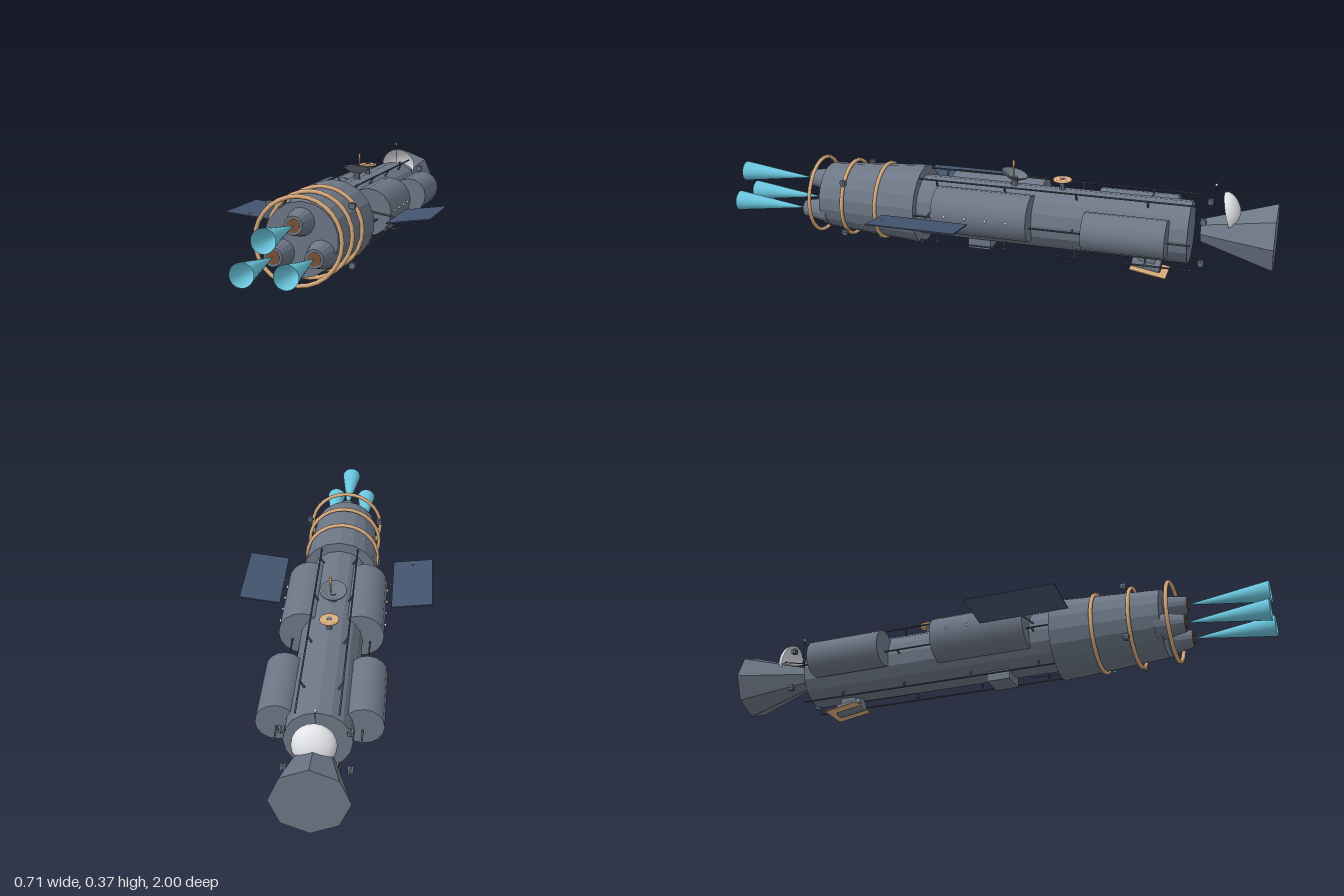
import * as THREE from 'three';

const mat = (name, color, extra = {}) => {
  const m = new THREE.MeshStandardMaterial({ color, ...extra });
  m.name = name;
  return m;
};

export function createModel() {
  const hullGrey = mat('hull grey', 0x6d7786, { flatShading: true });
  const tankGrey = mat('tank grey', 0x6d7786);
  const dark = mat('dark steel', 0x4b5462);
  const gold = mat('gold', 0xdcae7e);
  const brown = mat('brown', 0x7a5238);
  const flame = mat('exhaust blue', 0x6ac6de, { side: THREE.DoubleSide });
  const white = mat('white', 0xe6e8ec, { side: THREE.DoubleSide });
  const navy = mat('panel navy', 0x43546f);
  const red = mat('red light', 0xb0554a);
  const AXIS = 0.176;

  const root = new THREE.Group();
  root.name = 'spaceship';
  const add = (name, geo, material, x = 0, y = 0, z = 0, parent = root) => {
    const m = new THREE.Mesh(geo, material);
    m.name = name;
    m.position.set(x, y, z);
    parent.add(m);
    return m;
  };
  // Cylinder along z; r0 at z0, r1 at z1 (z1 > z0)
  const tubeZ = (name, r0, r1, z0, z1, sides, material, x = 0, y = AXIS, open = false) =>
    add(name, new THREE.CylinderGeometry(r1, r0, z1 - z0, sides, 1, open).rotateX(Math.PI / 2),
      material, x, y, (z0 + z1) / 2);
  // Thin rod between two points
  const rod = (name, a, b, r, material, r2 = r) => {
    const p = new THREE.Vector3(...a), q = new THREE.Vector3(...b);
    const m = add(name, new THREE.CylinderGeometry(r2, r, p.distanceTo(q), 6), material);
    m.position.copy(p).add(q).multiplyScalar(0.5);
    m.quaternion.setFromUnitVectors(new THREE.Vector3(0, 1, 0), q.sub(p).normalize());
    return m;
  };

  // Main body, engine section and bow cone
  tubeZ('hull', 0.11, 0.11, -0.715, 0.3, 16, hullGrey);
  tubeZ('engineSection', 0.145, 0.12, 0.26, 0.64, 18, hullGrey);
  tubeZ('bowCone', 0.123, 0.042, -1, -0.75, 8, hullGrey, 0, 0.186);

  // Gold rings around the stern
  for (const z of [0.41, 0.54, 0.67])
    add('sternRing', new THREE.TorusGeometry(0.139, 0.0072, 8, 28), gold, 0, AXIS, z);

  // Three engines with exhaust cones
  for (const [x, y] of [[0, 0.232], [-0.065, 0.133], [0.065, 0.133]]) {
    tubeZ('engineNozzle', 0.049, 0.03, 0.62, 0.72, 16, hullGrey, x, y);
    tubeZ('nozzleThroat', 0.022, 0.022, 0.71, 0.722, 16, brown, x, y);
    tubeZ('exhaust', 0.001, 0.037, 0.723, 1, 24, flame, x, y, true);
  }

  // Six lengthwise rails with standoffs
  for (let i = 0; i < 6; i++) {
    const a = (i * Math.PI) / 3, c = Math.cos(a), s = Math.sin(a);
    tubeZ('rail', 0.0032, 0.0032, -0.73, 0.27, 6, dark, 0.136 * c, AXIS + 0.136 * s);
    for (const z of [-0.57, -0.32, -0.06, 0.195])
      rod('railStandoff', [0.1 * c, AXIS + 0.1 * s, z], [0.139 * c, AXIS + 0.139 * s, z], 0.0035, dark);
  }

  // Thruster cluster: a cube with a nozzle on every side
  const cluster = (x, y, z) => {
    const g = new THREE.Group();
    g.name = 'thrusterCluster';
    g.position.set(x, y, z);
    root.add(g);
    add('clusterBlock', new THREE.BoxGeometry(0.018, 0.018, 0.018), hullGrey, 0, 0, 0, g);
    for (const axis of ['x', 'y', 'z']) {
      const n = add('clusterNozzles', new THREE.CylinderGeometry(0.004, 0.004, 0.025, 6), hullGrey, 0, 0, 0, g);
      if (axis === 'x') n.rotation.z = Math.PI / 2;
      if (axis === 'z') n.rotation.x = Math.PI / 2;
    }
  };

  for (const s of [1, -1]) {
    // Side tanks
    tubeZ('forwardTank', 0.067, 0.067, -0.652, -0.367, 16, tankGrey, s * 0.138, 0.19);
    tubeZ('midTank', 0.083, 0.083, -0.17, 0.178, 16, tankGrey, s * 0.102, 0.2);
    for (const z of [-0.1, -0.025, 0.05, 0.125])
      add('window', new THREE.SphereGeometry(0.005, 8, 6), white, s * 0.186, 0.203, z);

    // Solar panel, its arm and marker light
    const panel = add('solarPanel', new THREE.BoxGeometry(0.15, 0.004, 0.32), navy, s * 0.279, 0.2, 0.192);
    panel.rotation.z = s * 0.125;
    rod('panelArm', [s * 0.08, 0.212, 0.192], [s * 0.215, 0.186, 0.192], 0.0035, hullGrey);
    add('panelLight', new THREE.SphereGeometry(0.005, 8, 6), s > 0 ? flame : red, s * 0.278, 0.201, 0.32);

    // Bow and stern thruster clusters
    for (const t of [1, -1]) {
      cluster(s * 0.136, AXIS + t * 0.095, 0.53);
      cluster(s * 0.105, 0.181 + t * 0.075, -0.765);
    }
  }

  // Dorsal dish tipped towards the bow, on a slim pedestal, with a gold feed horn
  add('dishPedestal', new THREE.CylinderGeometry(0.01, 0.014, 0.04, 10), hullGrey, 0, 0.295, -0.08);
  const dishProfile = [[0, -0.002], [0.022, 0], [0.048, 0.016], [0.048, 0.02], [0.043, 0.02], [0.02, 0.006], [0, 0.004]]
    .map(([x, y]) => new THREE.Vector2(x, y));
  const dish = add('dorsalDish', new THREE.LatheGeometry(dishProfile, 18), hullGrey, 0, 0.309, -0.075);
  dish.rotation.x = -0.28;
  rod('feedHorn', [0.008, 0.31, -0.078], [0.011, 0.378, -0.078], 0.002, gold, 0.005);

  // Dorsal docking port: gold plate in a slim grey rim
  add('dockingPlate', new THREE.CylinderGeometry(0.027, 0.027, 0.008, 18), gold, 0, 0.32, -0.255);
  add('dockingRim', new THREE.TorusGeometry(0.029, 0.005, 8, 20).rotateX(Math.PI / 2), gold, 0, 0.32, -0.255);
  add('dockingCentre', new THREE.CylinderGeometry(0.01, 0.01, 0.004, 12), hullGrey, 0, 0.3235, -0.255);
  add('dockingNeck', new THREE.CylinderGeometry(0.01, 0.01, 0.04, 8), hullGrey, 0, 0.297, -0.255);

  // White bowl and mast on the bow, opening aft
  const bowl = add('bowBowl',
    new THREE.SphereGeometry(0.07, 20, 8, 0, Math.PI * 2, 0, Math.PI / 2).scale(1, 0.6, 1).rotateX(-Math.PI / 2),
    white, 0, 0.262, -0.836);
  bowl.rotation.x = 0.25;
  rod('bowMast', [0, 0.2, -0.79], [0, 0.355, -0.79], 0.0015, dark);
  rod('bowlFeed', [0, 0.272, -0.87], [0, 0.25, -0.77], 0.002, dark);
  add('mastLight', new THREE.SphereGeometry(0.005, 8, 6), white, 0, 0.355, -0.79);

  // Belly equipment box and stern light
  add('bellyBox', new THREE.BoxGeometry(0.09, 0.045, 0.085), hullGrey, 0, 0.062, 0.04);
  add('bellyLight', new THREE.SphereGeometry(0.005, 8, 6), flame, 0, 0.024, 0.45);

  // Belly sensor pod with a thin tilted gold plate
  const pod = new THREE.Group();
  pod.name = 'sensorPod';
  pod.position.set(0, 0.034, -0.565);
  pod.rotation.x = -0.16;
  root.add(pod);
  add('sensorBarrel', new THREE.CylinderGeometry(0.026, 0.026, 0.1, 12).rotateX(Math.PI / 2), hullGrey, 0, 0.003, 0, pod);
  add('sensorLens', new THREE.CylinderGeometry(0.02, 0.02, 0.008, 12).rotateX(Math.PI / 2), dark, 0, 0.003, -0.05, pod);
  add('sensorPlate', new THREE.BoxGeometry(0.116, 0.003, 0.13), gold, 0, -0.009, -0.015, pod);
  add('sensorMount', new THREE.BoxGeometry(0.04, 0.05, 0.06), hullGrey, 0, 0.03, 0, pod);

  return root;
}
